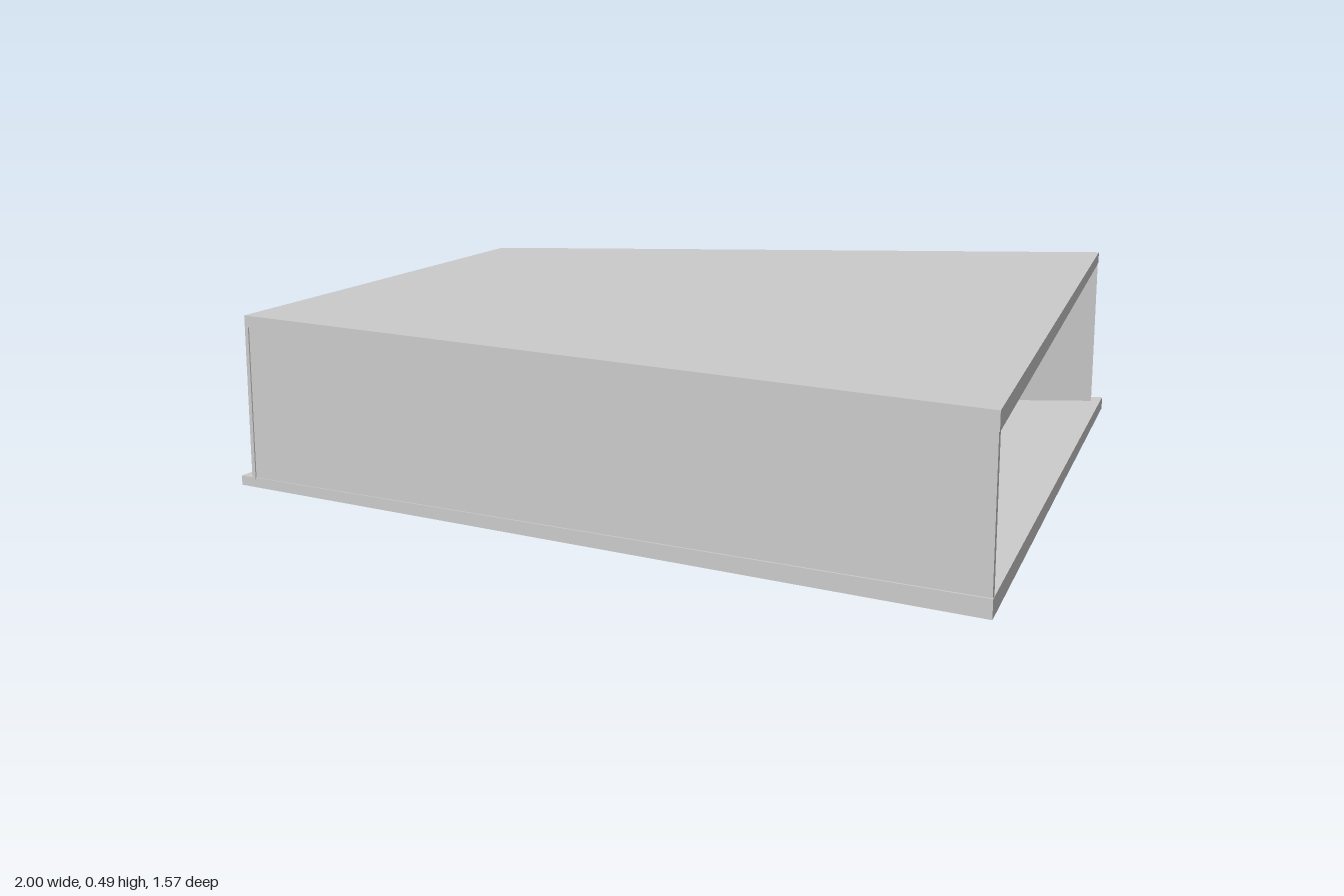
import * as THREE from 'three';
import { ParametricGeometry } from 'three/addons/geometries/ParametricGeometry.js';

const mat = (color = 0xcccccc, side = THREE.FrontSide) => new THREE.MeshStandardMaterial({ color, side });
const grey = mat();
const greyThin = mat(0xcccccc, THREE.DoubleSide);
const blue = mat(0x8090d0), red = mat(0x8a3f2c), teal = mat(0x4fa8a0, THREE.DoubleSide);
const purple = mat(0xb060c0), dark = mat(0x333333);

function add(parent, name, geometry, material = grey, x = 0, y = 0, z = 0) {
  const mesh = new THREE.Mesh(geometry, material);
  mesh.name = name;
  mesh.position.set(x, y, z);
  parent.add(mesh);
  return mesh;
}

// Four-cornered slab; each corner is [x, z, bottom, top]
// in the order back left, back right, front right, front left
function slab(corners) {
  const g = new THREE.BoxGeometry(1, 1, 1);
  const p = g.attributes.position;
  for (let i = 0; i < p.count; i++) {
    const east = p.getX(i) > 0, south = p.getZ(i) > 0;
    const c = corners[south ? (east ? 2 : 3) : (east ? 1 : 0)];
    p.setXYZ(i, c[0], p.getY(i) > 0 ? c[3] : c[2], c[1]);
  }
  g.computeVertexNormals();
  return g;
}

const Y0 = 0.045, Y1 = 0.445, THICK = 0.012;

// Wall running from p to q; local x runs along it, local z points into the room
function wall(parent, name, p, q, hole) {
  const dx = q[0] - p[0], dz = q[1] - p[1], len = Math.hypot(dx, dz);
  const group = new THREE.Group();
  group.name = name;
  group.position.set(p[0], 0, p[1]);
  group.rotation.y = Math.atan2(-dz, dx);
  const shape = new THREE.Shape([[0, Y0], [len, Y0], [len, Y1], [0, Y1]].map(a => new THREE.Vector2(...a)));
  if (hole) shape.holes.push(hole);
  add(group, name + 'Panel', new THREE.ExtrudeGeometry(shape, { depth: THICK, bevelEnabled: false, curveSegments: 16 }));
  parent.add(group);
  return group;
}

// Heart with its tip cut off by the floor
function heart(cx) {
  const h = new THREE.Path();
  h.moveTo(cx - 0.03, 0.05);
  h.bezierCurveTo(cx - 0.08, 0.09, cx - 0.115, 0.13, cx - 0.115, 0.185);
  h.bezierCurveTo(cx - 0.115, 0.275, cx - 0.02, 0.29, cx, 0.235);
  h.bezierCurveTo(cx + 0.02, 0.29, cx + 0.115, 0.275, cx + 0.115, 0.185);
  h.bezierCurveTo(cx + 0.115, 0.13, cx + 0.08, 0.09, cx + 0.03, 0.05);
  h.closePath();
  return h;
}

function buildShell(root) {
  add(root, 'floor', slab([[-0.64, -0.4, 0.027, 0.05], [1, -0.79, 0.018, 0.05], [0.97, 0.78, 0, 0.05], [-1, 0.493, 0.025, 0.05]]));
  add(root, 'roof', slab([[-0.6, -0.345, 0.44, 0.47], [0.975, -0.762, 0.44, 0.47], [0.97, 0.775, 0.44, 0.49], [-0.97, 0.495, 0.44, 0.474]]));

  const west = [-0.97, 0.495], north = [-0.6, -0.345], east = [0.972, -0.76], south = [0.968, 0.774];
  wall(root, 'heartWindowWall', west, north, heart(0.682));

  // Back wall with a door
  const back = wall(root, 'backWall', north, east);
  add(back, 'door', new THREE.BoxGeometry(0.2, 0.27, 0.012), grey, 0.2, 0.183, THICK + 0.004);
  add(back, 'doorKnob', new THREE.SphereGeometry(0.009, 16, 12), grey, 0.275, 0.175, THICK + 0.017);

  // Front wall with a ragged pleated hanging
  const front = wall(root, 'frontWall', south, west);
  const drape = (u, v, t) => {
    const ragged = 0.012 * Math.sin(u * 37) + 0.006 * Math.sin(u * 83);
    const fold = 0.009 * Math.sin(u * 75 + 2 * Math.sin(v * 5)) + 0.004 * Math.sin(u * 131 + v * 4);
    t.set(1.14 + 0.47 * u, 0.1 + 0.29 * v + ragged * (1 - v) - ragged * 0.3 * v, THICK + 0.016 + fold);
  };
  add(front, 'wallHanging', new ParametricGeometry(drape, 110, 14), greyThin);
}

// Onion-shaped pleated tent, raised at the side facing the open end
function buildTent(root) {
  const profile = new THREE.SplineCurve([
    [0.168, 0.05], [0.176, 0.09], [0.16, 0.14], [0.118, 0.19], [0.07, 0.235], [0.036, 0.28],
    [0.018, 0.315], [0.011, 0.345], [0.022, 0.385],
  ].map(a => new THREE.Vector2(...a)));
  const pt = new THREE.Vector2();
  const skin = (u, v, t) => {
    const a = (u - 0.5) * Math.PI * 2;
    const start = 0.3 * THREE.MathUtils.smoothstep(1.25 - Math.abs(a + 0.25), 0, 0.45);
    profile.getPoint(start + (1 - start) * v, pt);
    const r = pt.x * (1 + 0.05 * Math.cos(a * 26) + 0.02 * Math.cos(a * 11));
    t.set(r * Math.cos(a), pt.y + 0.008 * v ** 8 * Math.cos(a * 5), -r * Math.sin(a));
  };
  const tent = new THREE.Group();
  tent.name = 'tentBed';
  tent.position.set(-0.3, 0, 0.213);
  root.add(tent);
  add(tent, 'canopy', new ParametricGeometry(skin, 208, 32), greyThin);
  add(tent, 'bedBase', new THREE.CylinderGeometry(0.15, 0.15, 0.012, 48), red, 0, 0.056, 0);
  add(tent, 'mattress', new THREE.CylinderGeometry(0.115, 0.115, 0.048, 48), blue, 0.03, 0.086, -0.03);
  for (const [x, y, z, r] of [[-0.03, 0.128, -0.03, 0.04], [-0.02, 0.124, 0.03, 0.034], [0, 0.122, -0.08, 0.03]])
    add(tent, 'pillow', new THREE.SphereGeometry(r, 24, 16), grey, x, y, z).scale.y = 0.6;
}

function buildFurniture(root) {
  // Flat board under the ceiling
  add(root, 'ceilingBoard', new THREE.BoxGeometry(0.3, 0.006, 0.4), red, -0.45, 0.437, 0.287);

  // Reclining lounger: thin curved seat between two dark rails
  const curve = new THREE.CatmullRomCurve3([
    [0.455, 0.052], [0.451, 0.1], [0.43, 0.125], [0.4, 0.1], [0.365, 0.065], [0.33, 0.067], [0.285, 0.08], [0.25, 0.058],
  ].map(([z, y]) => new THREE.Vector3(0, y, z)));
  const lounger = new THREE.Group();
  lounger.name = 'lounger';
  root.add(lounger);
  const seat = (u, v, t) => { curve.getPoint(u, t); t.x = (v - 0.5) * 0.11; };
  add(lounger, 'loungerSeat', new ParametricGeometry(seat, 48, 1), teal);
  for (const s of [-1, 1])
    add(lounger, 'loungerRail', new THREE.TubeGeometry(curve, 48, 0.004, 8), dark, s * 0.055);

  // Small round table with a cup
  const table = new THREE.Group();
  table.name = 'sideTable';
  table.position.set(-0.08, 0.05, 0.14);
  root.add(table);
  add(table, 'tableFoot', new THREE.CylinderGeometry(0.02, 0.024, 0.005, 24), grey, 0, 0.0025);
  add(table, 'tableStem', new THREE.CylinderGeometry(0.004, 0.004, 0.03, 12), grey, 0, 0.018);
  add(table, 'tableTop', new THREE.CylinderGeometry(0.03, 0.03, 0.005, 32), grey, 0, 0.034);
  add(table, 'cup', new THREE.CylinderGeometry(0.015, 0.009, 0.035, 20), grey, 0, 0.054, -0.01);

  // Single flower on a bent stem
  const flower = new THREE.Group();
  flower.name = 'flower';
  flower.position.x = -0.42;
  root.add(flower);
  const stem = new THREE.QuadraticBezierCurve3(
    new THREE.Vector3(0, 0.05, -0.262), new THREE.Vector3(0, 0.11, -0.262), new THREE.Vector3(0, 0.17, -0.283));
  add(flower, 'flowerStem', new THREE.TubeGeometry(stem, 16, 0.002, 8), dark);
  add(flower, 'flowerFoot', new THREE.CylinderGeometry(0.012, 0.014, 0.006, 20), grey, 0, 0.053, -0.262);
  add(flower, 'flowerHead', new THREE.SphereGeometry(0.013, 20, 14), purple, 0, 0.172, -0.283);
}

export function createModel() {
  const root = new THREE.Group();
  root.name = 'wedgeRoom';
  buildShell(root);
  buildTent(root);
  buildFurniture(root);
  return root;
}
